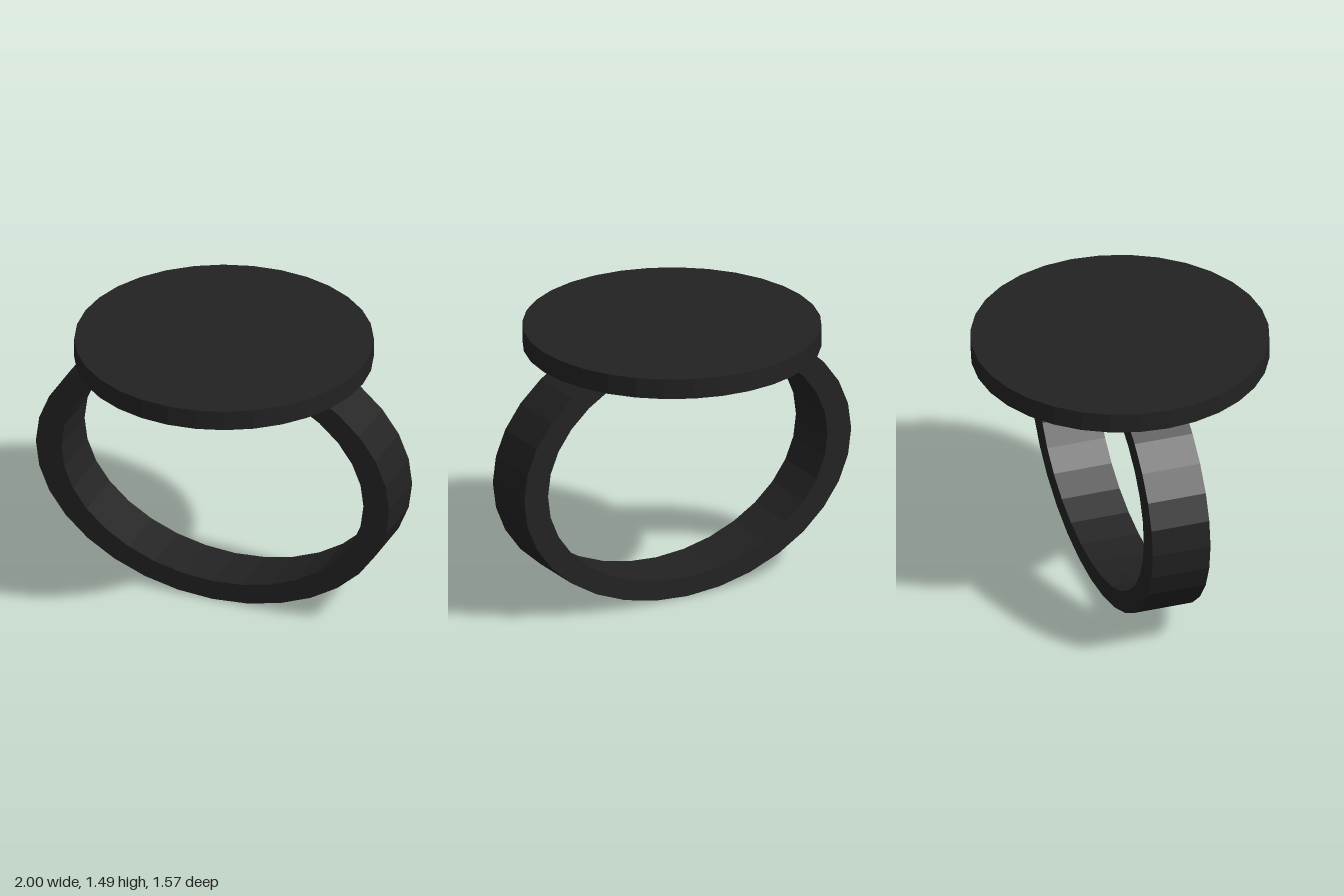
import * as THREE from 'three';

const SIDES = 32;

// Points of a faceted ellipse around the origin
function ellipse(rx, ry) {
  return Array.from({ length: SIDES }, (_, i) => {
    const a = (i / SIDES) * Math.PI * 2;
    return new THREE.Vector2(Math.cos(a) * rx, Math.sin(a) * ry);
  });
}

export function createModel() {
  const model = new THREE.Group();
  model.name = 'signetRing';

  const black = new THREE.MeshStandardMaterial({ color: 0x222222, flatShading: true });
  black.name = 'black';

  // Oval band, slightly thicker at the sides
  const width = 0.32;
  const outline = new THREE.Shape(ellipse(1, 0.74));
  outline.holes.push(new THREE.Path(ellipse(0.855, 0.632)));
  const bandGeometry = new THREE.ExtrudeGeometry(outline, { depth: width, bevelEnabled: false });
  bandGeometry.translate(0, 0.74, -width / 2);
  const band = new THREE.Mesh(bandGeometry, black);
  band.name = 'band';
  model.add(band);

  // Flat round plate resting on the band
  const plate = new THREE.Mesh(new THREE.CylinderGeometry(0.785, 0.785, 0.11, SIDES), black);
  plate.name = 'topPlate';
  plate.position.y = 1.43;
  model.add(plate);

  return model;
}
